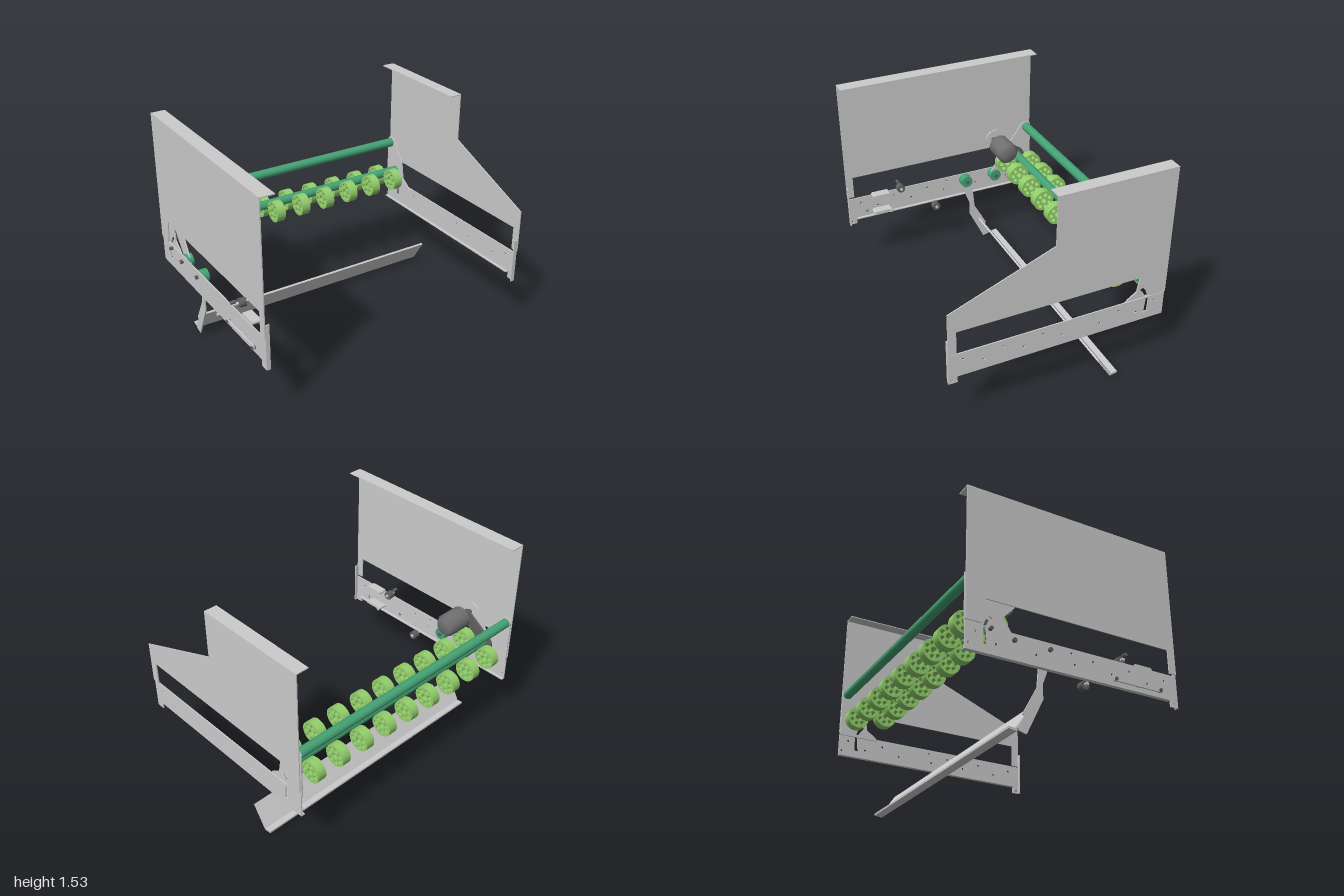
import * as THREE from 'three';

const mat = (color) => new THREE.MeshStandardMaterial({ color, side: THREE.DoubleSide });
const grey = mat(0xcccccc), dark = mat(0x606060), green = mat(0x45a375), lime = mat(0x93cf6c);

export function createModel() {
  const root = new THREE.Group();
  const add = (name, geo, m = grey) => {
    const mesh = new THREE.Mesh(geo, m);
    mesh.name = name;
    root.add(mesh);
    return mesh;
  };
  const poly = (pts, Type = THREE.Shape) => new Type(pts.map(([z, y]) => new THREE.Vector2(z, y)));
  const disc = (z, y, r, Type = THREE.Path) => {
    const p = new Type();
    p.absarc(z, y, r, 0, Math.PI * 2, false);
    return p;
  };
  // Plate drawn in (z, y) and extruded from x0 to x1
  const plate = (shape, x0, x1, segs = 16) => new THREE.ExtrudeGeometry(shape,
    { depth: x1 - x0, bevelEnabled: false, curveSegments: segs }).rotateY(-Math.PI / 2).translate(x1, 0, 0);
  const box = (x0, x1, y0, y1, z0, z1) => new THREE.BoxGeometry(x1 - x0, y1 - y0, z1 - z0)
    .translate((x0 + x1) / 2, (y0 + y1) / 2, (z0 + z1) / 2);
  // Cylinder along x
  const rod = (x0, x1, y, z, r, r1 = r) => new THREE.CylinderGeometry(r, r1, x1 - x0, 32)
    .rotateZ(-Math.PI / 2).translate((x0 + x1) / 2, y, z);
  // Rounded link joining two circles
  const link = (z0, y0, r0, z1, y1, r1) => {
    const a = Math.atan2(y1 - y0, z1 - z0);
    const t = Math.acos((r0 - r1) / Math.hypot(z1 - z0, y1 - y0));
    const s = new THREE.Shape();
    s.absarc(z0, y0, r0, a + t, a - t + Math.PI * 2, false);
    s.absarc(z1, y1, r1, a - t, a + t, false);
    return s;
  };

  // Side panels: the right one is a full sheet, the left one is cut away at the front
  const legs = [[0.765, 0.605], [0.71, 0.605], [0.71, 0.77], [-0.62, 0.77],
    [-0.64, 0.615], [-0.65, 0.605], [-0.753, 0.605]];
  add('rightPanel', plate(poly([...legs, [-0.753, 1.53], [0.765, 1.53]]), -0.98, -0.973));
  add('leftPanel', plate(poly([...legs, [-0.753, 1.53], [0.065, 1.53], [0.065, 1.19], [0.765, 0.91]]), 0.984, 0.991));
  add('rightPanelFlange', box(-0.98, -0.878, 1.523, 1.53, -0.753, 0.765));
  add('leftPanelFlange', box(0.9, 0.991, 1.523, 1.53, -0.753, 0.065));

  // Side rails with rows of drilled holes
  const railShape = () => {
    const s = poly([[0.765, 0.375], [0.765, 0.595], [-0.753, 0.595], [-0.753, 0.42], [0.705, 0.42], [0.705, 0.375]]);
    for (let i = 0; i < 11; i++)
      if (i !== 6) s.holes.push(disc(0.666 - i * 0.135, i % 2 ? 0.494 : 0.545, 0.008));
    for (const [z, y] of [[-0.03, 0.566], [-0.73, 0.463], [0.74, 0.398]]) s.holes.push(disc(z, y, 0.007));
    s.holes.push(poly([[-0.615, 0.585], [-0.635, 0.585], [-0.63, 0.48], [-0.605, 0.475]], THREE.Path));
    return s;
  };
  // Roller brackets rising from the back of the rails, with a curved slot
  const bracketShape = () => {
    const s = poly([[-0.46, 0.58], [-0.48, 0.605], [-0.545, 0.65], [-0.565, 0.77], [-0.675, 0.925], [-0.695, 0.94],
      [-0.735, 0.94], [-0.753, 0.92], [-0.753, 0.58]]);
    s.holes.push(poly([[-0.57, 0.66], [-0.59, 0.67], [-0.615, 0.64], [-0.63, 0.6], [-0.61, 0.6], [-0.595, 0.63]], THREE.Path));
    return s;
  };
  for (const s of [-1, 1]) {
    const side = s < 0 ? 'right' : 'left';
    const span = (a, b) => (s < 0 ? [-b + 0.01, -a + 0.01] : [a, b]);
    add(side + 'Rail', plate(railShape(), ...span(0.975, 0.983)));
    add(side + 'RailBottomLip', box(...span(0.955, 0.976), 0.42, 0.427, -0.753, 0.705));
    add(side + 'RailFrontEnd', box(...span(0.955, 0.983), 0.375, 0.695, 0.757, 0.765));
    add(side + 'RollerBracket', plate(bracketShape(), ...span(0.966, 0.975)));
  }

  // Cross rollers
  add('upperRoller', rod(-0.962, 0.972, 0.9, -0.715, 0.033), green);
  add('lowerRoller', rod(-0.925, 0.932, 0.715, -0.595, 0.033), green);

  // Two rows of spoked wheels
  const wheel = disc(0, 0, 0.078, THREE.Shape);
  wheel.holes.push(disc(0, 0, 0.021));
  for (let i = 0; i < 7; i++) {
    const a = (i / 7) * Math.PI * 2;
    wheel.holes.push(disc(Math.cos(a) * 0.048, Math.sin(a) * 0.048, 0.015));
  }
  const wheelGeo = plate(wheel, -0.032, 0.032, 20);
  for (let i = 0; i < 9; i++) {
    const x = (i - 4) * 0.2045;
    add('frontWheel', wheelGeo, lime).position.set(x, 0.71, -0.475);
    add('backWheel', wheelGeo, lime).position.set(x, 0.66, -0.687);
  }

  // Drive motor with rounded end, shaft and belt to the lower roller
  const motorProfile = [[0, 0], [0.072, 0], [0.079, 0.008], [0.079, 0.165], [0.055, 0.195], [0, 0.195]]
    .map(([r, h]) => new THREE.Vector2(r, h));
  const motor = add('motor', new THREE.LatheGeometry(motorProfile, 32).rotateZ(-Math.PI / 2), mat(0x707070));
  motor.material.flatShading = false;
  motor.position.set(-0.835, 0.865, -0.422);
  add('motorShaft', rod(-0.94, -0.83, 0.865, -0.422, 0.018), dark);
  add('driveBelt', plate(link(-0.595, 0.7, 0.07, -0.422, 0.865, 0.03), -0.9, -0.882), dark);

  // Swinging motor bracket
  add('motorBracketUpper', plate(link(-0.435, 0.865, 0.075, -0.55, 0.71, 0.055), -0.935, -0.925));
  add('motorBracketLower', plate(link(-0.55, 0.71, 0.055, -0.43, 0.545, 0.045), -0.935, -0.925));

  // Pivot bearings on the right rail
  for (const z of [-0.185, -0.43]) {
    add('pivotBearing', rod(-0.965, -0.905, 0.548, z, 0.045), green);
    add('pivotPin', rod(-0.99, -0.893, 0.548, z, 0.014), dark);
  }

  // Hanging arm and the angled cross plate it carries
  add('swingArm', plate(poly([[-0.15, 0.56], [-0.22, 0.56], [-0.24, 0.42], [-0.25, 0.31], [-0.35, 0.125], [-0.34, 0.115],
    [-0.385, 0.03], [-0.375, 0.015], [-0.325, 0.003], [-0.21, 0.24], [-0.21, 0.34], [-0.18, 0.42]]), -0.928, -0.918));
  add('crossPlate', plate(poly([[-0.283, 0.172], [-0.293, 0.182], [-0.395, 0.03], [-0.44, 0.034], [-0.44, 0.02],
    [-0.385, 0.012]]), -0.92, 0.988));

  // Knobs, pads and studs on the right rail
  for (const [z, y] of [[0.36, 0.625], [0.08, 0.395]]) {
    add('knob', rod(-0.945, -0.9, y, z, 0.03), dark);
    add('knobStem', rod(-0.97, -0.892, y, z, 0.011));
  }
  for (const y of [0.455, 0.595])
    add('railPad', plate(poly([[0.58, y], [0.58, y + 0.013], [0.572, y + 0.02], [0.453, y + 0.02],
      [0.445, y + 0.013], [0.445, y]]), -0.967, -0.9));
  add('outerBar', box(-0.99, -0.98, 0.45, 0.475, 0.265, 0.635));
  for (const [z, y] of [[0.62, 0.463], [0.28, 0.463], [0.36, 0.645], [-0.59, 0.58]])
    add('stud', rod(-0.998, -0.965, y, z, 0.012), dark);
  add('tieRod', rod(-0.99, -0.89, 0.463, 0.45, 0.013));

  return root;
}
